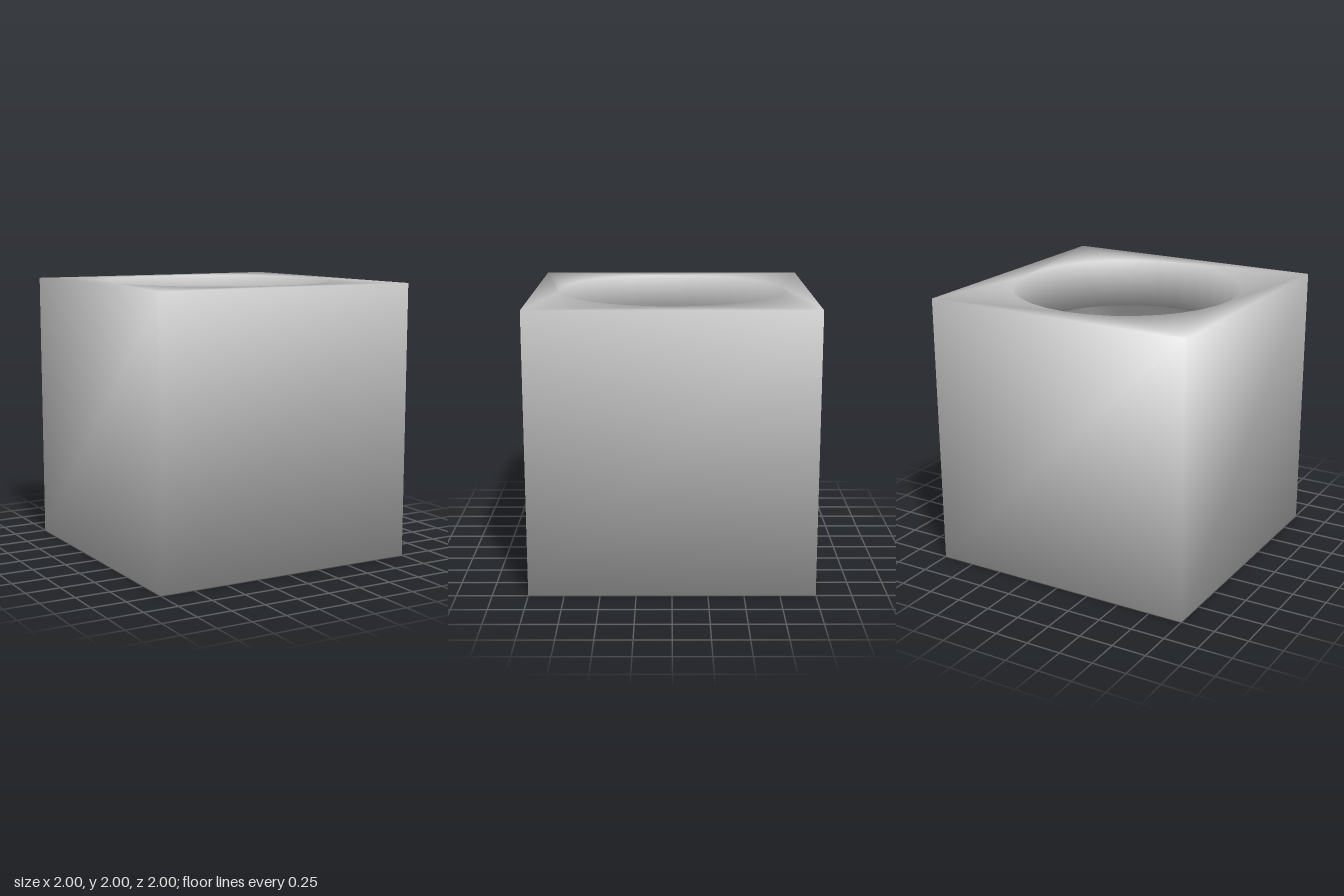
import * as THREE from 'three';
import { mergeGeometries, mergeVertices } from 'three/addons/utils/BufferGeometryUtils.js';

const SEGMENTS = 32;
const RIM = { radius: 0.83, y: 2 };
const NECK = { radius: 0.77, y: 1.65 };

// Keep positions and index only, so neighbouring faces can share normals
function bare(geometry) {
  geometry.deleteAttribute('normal');
  geometry.deleteAttribute('uv');
  geometry.clearGroups();
  return geometry;
}

// Cube of five plain sides and a top with a round opening
function openCube(half, opening) {
  const sides = new THREE.BoxGeometry(half * 2, half * 2, half * 2).translate(0, 1, 0);
  const faces = Array.from(sides.index.array);
  faces.splice(12, 6);
  sides.setIndex(faces);

  const square = new THREE.Shape([[-1, -1], [1, -1], [1, 1], [-1, 1]]
    .map(([x, y]) => new THREE.Vector2(x * half, y * half)));
  const circle = [];
  for (let i = 0; i < SEGMENTS; i++) {
    const a = (i / SEGMENTS) * Math.PI * 2;
    circle.push(new THREE.Vector2(Math.sin(a), Math.cos(a)).multiplyScalar(opening.radius));
  }
  square.holes.push(new THREE.Path(circle));
  const top = new THREE.ShapeGeometry(square).rotateX(-Math.PI / 2);
  const p = top.attributes.position;
  for (let i = 0; i < p.count; i++) {
    const atOpening = Math.hypot(p.getX(i), p.getZ(i)) < opening.radius + 0.01;
    p.setY(i, atOpening ? opening.y : 1 + half);
  }
  return mergeGeometries([sides, top].map(bare));
}

// Smooth normals weighted by corner angle, even across unequal triangles
function smoothNormals(geometry) {
  const p = geometry.attributes.position;
  const index = geometry.index.array;
  const sums = Array.from({ length: p.count }, () => new THREE.Vector3());
  for (let i = 0; i < index.length; i += 3) {
    const ids = [index[i], index[i + 1], index[i + 2]];
    const v = ids.map((id) => new THREE.Vector3().fromBufferAttribute(p, id));
    for (let k = 0; k < 3; k++) {
      const a = v[(k + 1) % 3].clone().sub(v[k]);
      const b = v[(k + 2) % 3].clone().sub(v[k]);
      const angle = a.angleTo(b);
      sums[ids[k]].add(a.cross(b).normalize().multiplyScalar(angle));
    }
  }
  const normals = sums.flatMap((n) => n.normalize().toArray());
  geometry.setAttribute('normal', new THREE.Float32BufferAttribute(normals, 3));
}

export function createModel() {
  const group = new THREE.Group();
  group.name = 'hollowCube';

  // Outer cube, and the cavity turned to face inward
  const outer = openCube(1, RIM);
  const cavity = openCube(0.8, NECK);
  cavity.index.array.reverse();

  // Slightly tapered neck joining the two openings
  const neck = bare(new THREE.LatheGeometry(
    [RIM, NECK].map(({ radius, y }) => new THREE.Vector2(radius, y)), SEGMENTS));

  // Weld into one smooth-shaded body
  const body = mergeVertices(mergeGeometries([outer, cavity, neck]), 1e-4);
  smoothNormals(body);
  const material = new THREE.MeshStandardMaterial({ color: 0xcccccc, side: THREE.DoubleSide });
  const mesh = new THREE.Mesh(body, material);
  mesh.name = 'hollowCubeShell';
  group.add(mesh);
  return group;
}
